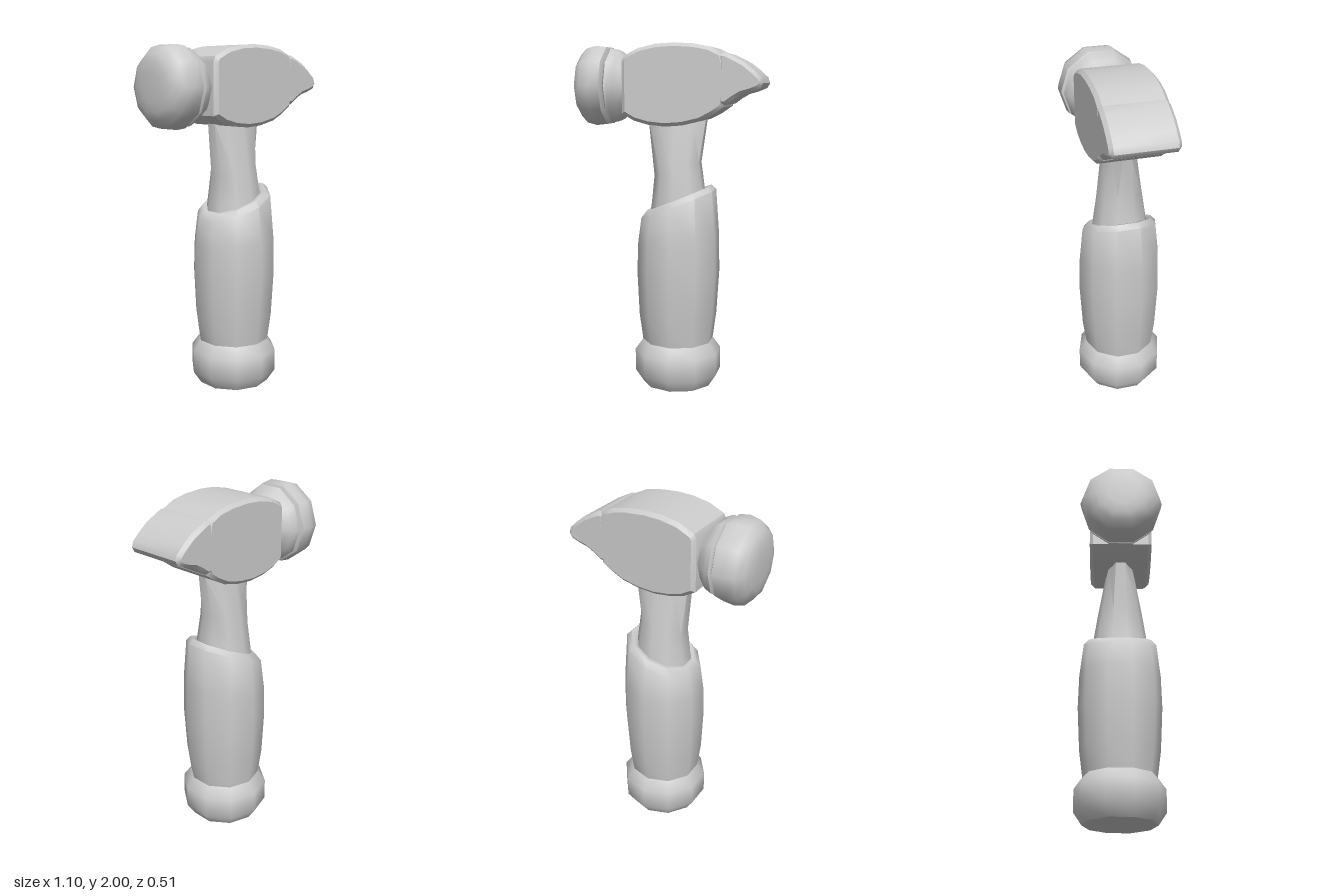
import * as THREE from 'three';
import { toCreasedNormals } from 'three/addons/utils/BufferGeometryUtils.js';

const SIDES = 10;
const CX = 0.04; // handle axis

export function createModel() {
  const group = new THREE.Group();
  const grey = new THREE.MeshStandardMaterial({ color: 0xcccccc });
  grey.name = 'light grey';

  function add(name, geometry, crease = 0.9) {
    const mesh = new THREE.Mesh(toCreasedNormals(geometry, crease), grey);
    mesh.name = name;
    group.add(mesh);
    return mesh;
  }

  const vectors = (points) => points.map(([x, y]) => new THREE.Vector2(x, y));
  const lathe = (points) => new THREE.LatheGeometry(vectors(points), SIDES);

  // Ten-sided shaft from rings: y, centre x, half widths in x and z, tilt of the ring
  function shaft(rings) {
    const geometry = lathe(rings.map((r) => [1, r[0]]));
    const pos = geometry.attributes.position;
    const flat = Math.cos(Math.PI / SIDES); // silhouette width across x
    for (let i = 0; i < pos.count; i++) {
      const [y, cx, rx, rz, tilt] = rings[i % rings.length];
      const dx = (pos.getX(i) * rx) / flat;
      pos.setXYZ(i, cx + dx, y + dx * tilt, pos.getZ(i) * rz);
    }
    return geometry;
  }

  // Bevelled slab across the head's width
  function slab(points) {
    const bevel = 0.02, half = 0.185;
    const geometry = new THREE.ExtrudeGeometry(new THREE.Shape(vectors(points)), {
      depth: 2 * (half - bevel), bevelEnabled: true, bevelThickness: bevel,
      bevelSize: bevel, bevelOffset: -bevel, bevelSegments: 1,
    });
    return geometry.translate(0, 0, bevel - half);
  }

  // Pommel at the foot of the handle
  add('pommel', lathe([
    [0, 0], [0.21, 0], [0.257, 0.07], [0.257, 0.2], [0.21, 0.265], [0, 0.265],
  ])).position.x = CX;

  // Swelling grip with a slanted, rounded rim
  add('grip', shaft([
    [0.24, CX, 0.197, 0.207, 0],
    [0.42, CX, 0.22, 0.231, 0],
    [0.68, CX + 0.002, 0.233, 0.245, 0],
    [0.88, CX + 0.003, 0.228, 0.24, 0.1],
    [1.085, CX + 0.003, 0.21, 0.218, 0.4],
    [1.12, CX + 0.006, 0.18, 0.188, 0.41],
    [1.115, CX + 0.005, 0.155, 0.162, 0.42],
    [1.04, CX, 0.13, 0.14, 0.42],
  ]));

  // Waisted neck, wide in x and narrow in z below the head
  add('neck', shaft([
    [1.0, CX, 0.165, 0.17, 0.2],
    [1.14, CX, 0.147, 0.156, 0.3],
    [1.29, CX - 0.002, 0.131, 0.133, 0.3],
    [1.57, 0.038, 0.168, 0.086, 0],
    [1.64, 0.038, 0.172, 0.07, 0],
  ]));

  // Head block with arched top and bottom
  add('headBlock', slab([
    [-0.248, 1.61], [-0.18, 1.572], [-0.1, 1.55], [0, 1.54], [0.1, 1.548],
    [0.2, 1.572], [0.27, 1.608], [0.33, 1.65], [0.341, 1.72], [0.345, 1.8],
    [0.338, 1.87], [0.325, 1.94], [0.25, 1.976], [0.16, 1.993], [0.05, 2],
    [-0.05, 1.994], [-0.15, 1.972], [-0.235, 1.93], [-0.248, 1.9],
  ]), 0.7);

  // Wedge-shaped peen
  add('peen', slab([
    [0.3, 1.66], [0.345, 1.662], [0.385, 1.692], [0.43, 1.718], [0.48, 1.732],
    [0.53, 1.752], [0.545, 1.78], [0.535, 1.812], [0.49, 1.853], [0.44, 1.892],
    [0.39, 1.918], [0.34, 1.942], [0.3, 1.942],
  ]), 0.7);

  // Striking face and collar, turned about the x axis
  const turned = (points) => lathe(points).rotateZ(Math.PI / 2).translate(0, 1.765, 0);
  add('collar', turned([
    [0.14, 0.23], [0.148, 0.245], [0.2, 0.295], [0.215, 0.325], [0.221, 0.342],
    [0.205, 0.352], [0.17, 0.356],
  ]));
  add('strikingFace', turned([
    [0.17, 0.352], [0.205, 0.356], [0.23, 0.368], [0.237, 0.43], [0.222, 0.488],
    [0.182, 0.527], [0.14, 0.543], [0.08, 0.55], [0, 0.55],
  ]));

  return group;
}
